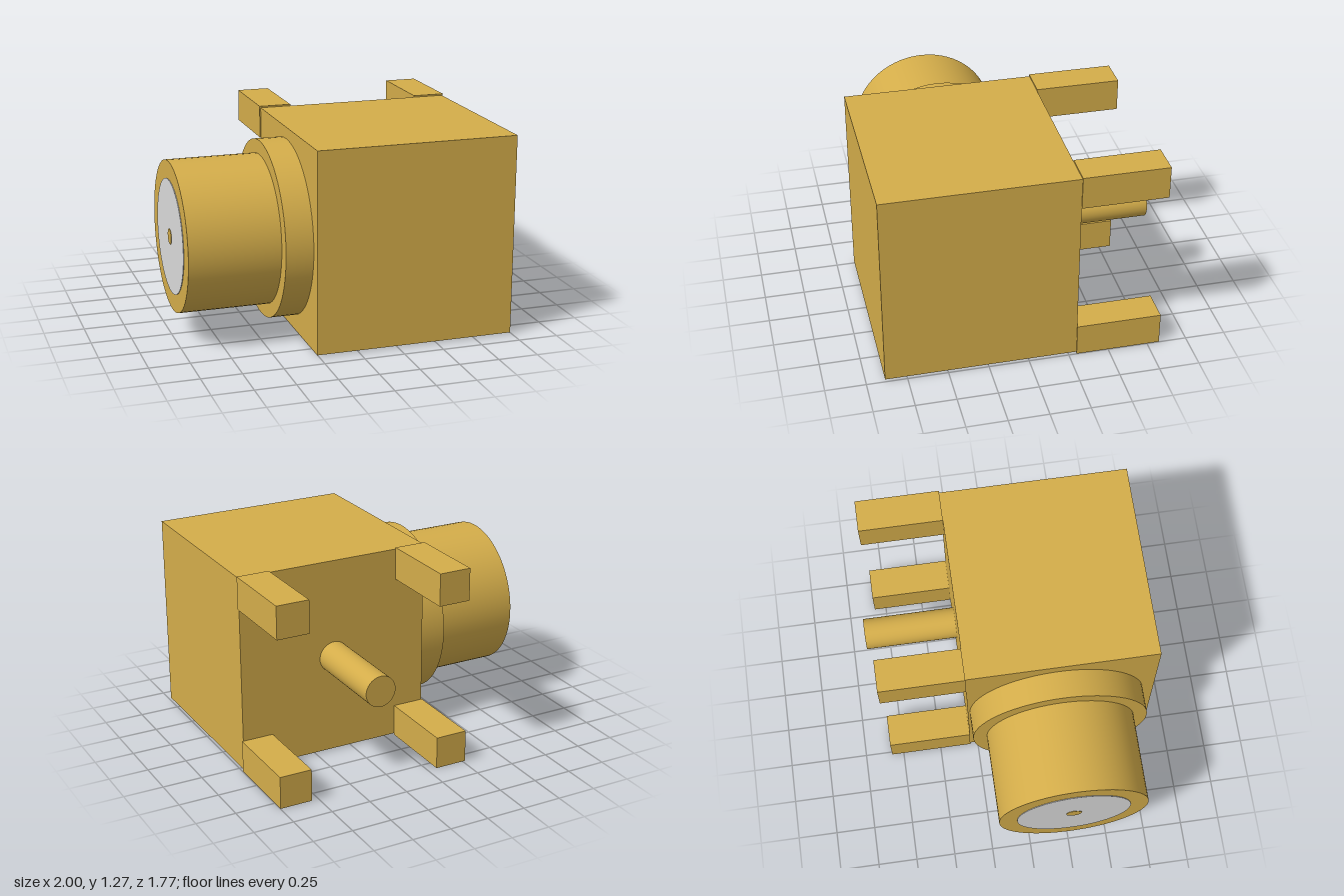
import * as THREE from 'three';

const gold = new THREE.MeshStandardMaterial({ color: 0xd4ad4a });
gold.name = 'gold';
const grey = new THREE.MeshStandardMaterial({ color: 0xdcdcdc });
grey.name = 'insulator grey';

const MID_Y = 0.635; // height of the pin and barrel axes
const BARREL_Z = 0.265;

export function createModel() {
  const model = new THREE.Group();
  model.name = 'rightAngleConnector';

  const add = (name, geometry, material = gold) => {
    const mesh = new THREE.Mesh(geometry, material);
    mesh.name = name;
    model.add(mesh);
  };

  // Box given by its lower and upper corners
  const box = (name, [x0, y0, z0], [x1, y1, z1]) =>
    add(name, new THREE.BoxGeometry(x1 - x0, y1 - y0, z1 - z0)
      .translate((x0 + x1) / 2, (y0 + y1) / 2, (z0 + z1) / 2));

  // Solid disc or cylinder on the barrel axis, from x0 to x1
  const barrelPart = (name, radius, x0, x1, material) =>
    add(name, new THREE.CylinderGeometry(radius, radius, x1 - x0, 64)
      .rotateZ(Math.PI / 2)
      .translate((x0 + x1) / 2, MID_Y, BARREL_Z), material);

  // Housing
  box('housing', [-0.26, 0.01, -0.3], [0.99, 1.26, 0.885]);

  // Four mounting legs, slightly proud of the housing sides
  for (const [side, x] of [['right', -0.267], ['left', 0.793]]) {
    for (const [level, y] of [['lower', 0], ['upper', 1.065]]) {
      box(`${side}${level}Leg`, [x, y, -0.827], [x + 0.205, y + 0.205, -0.3]);
    }
  }

  // Signal pin at the back
  add('signalPin', new THREE.CylinderGeometry(0.098, 0.098, 0.585, 48)
    .rotateX(Math.PI / 2)
    .translate(0.365, MID_Y, -0.5925));

  // Stepped barrel with insulator face and centre contact
  barrelPart('flange', 0.553, -0.43, -0.26);
  barrelPart('barrel', 0.467, -0.993, -0.43);
  barrelPart('insulator', 0.355, -0.997, -0.99, grey);
  barrelPart('centreContact', 0.048, -1, -0.99);

  return model;
}
